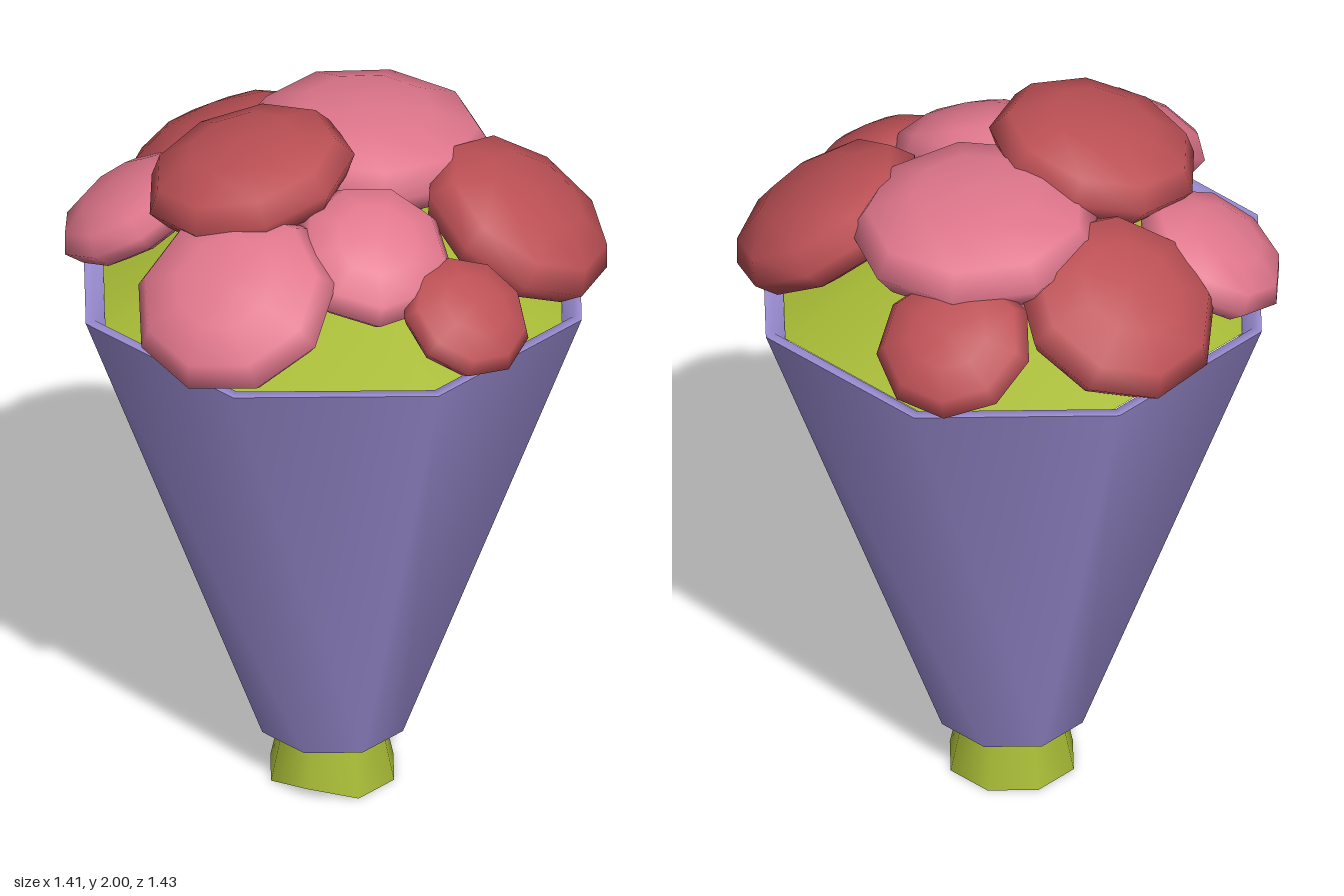
import * as THREE from 'three';

const mat = (name, hex) => {
  const m = new THREE.MeshStandardMaterial({ color: hex });
  m.name = name;
  return m;
};

export function createModel() {
  const group = new THREE.Group();
  group.name = 'bouquet';
  const lilac = mat('lilac paper', 0x9d8fd6);
  const green = mat('leaf green', 0xa8bb36);
  const pink = mat('pink petals', 0xe0768c);
  const red = mat('red petals', 0xbc5055);

  const add = (name, geometry, material) => {
    const mesh = new THREE.Mesh(geometry, material);
    mesh.name = name;
    group.add(mesh);
    return mesh;
  };
  const lathe = (pts) => new THREE.LatheGeometry(pts.map(([x, y]) => new THREE.Vector2(x, y)), 8);

  // Eight-sided paper cone with a thin folded rim
  add('wrapper', lathe([[0.2, 0.155], [0.705, 1.53]]), lilac);
  add('wrapperRim', lathe([[0.705, 1.53], [0.68, 1.535], [0.64, 1.49]]), lilac);
  add('wrapperBase', lathe([[0, 0.155], [0.2, 0.155]]), lilac);

  // Stem bundle flaring at the foot, cut slightly upward at the front
  const stem = new THREE.CylinderGeometry(0.14, 0.175, 0.16, 8);
  stem.translate(0, 0.08, 0);
  const p = stem.attributes.position;
  for (let i = 0; i < p.count; i++) {
    if (p.getY(i) < 0.01 && p.getZ(i) > 0.15) p.setY(i, 0.03);
  }
  add('stem', stem, green);

  // Green mound the blossoms sit on
  add('leafMound', lathe([[0.65, 1.51], [0.33, 1.66], [0, 1.74]]), green);

  // Blossoms: flattened low-poly balls, [name, material, centre, radius, facing]
  const blossoms = [
    ['crownPink', pink, [0.02, 1.81, -0.2], 0.335, [0.03, 1, -0.06], 0.39],
    ['crownRed', red, [-0.17, 1.87, 0.16], 0.285, [-0.22, 0.97, 0.1], 0.42],
    ['frontPink', pink, [-0.08, 1.69, 0.49], 0.275, [-0.05, 0.82, 0.55], 0.45],
    ['sidePink', pink, [-0.52, 1.66, 0.11], 0.215, [-0.5, 0.85, 0.1], 0.45],
    ['frontSmallPink', pink, [0.21, 1.755, 0.25], 0.215, [0.32, 0.85, 0.36], 0.45],
    ['sideSmallRed', red, [0.48, 1.635, 0.26], 0.18, [0.5, 0.8, 0.25], 0.45],
    ['sideRed', red, [0.46, 1.7, -0.15], 0.28, [0.52, 0.84, -0.1], 0.45],
    ['backRed', red, [-0.05, 1.67, -0.54], 0.21, [0, 0.82, -0.56], 0.45],
    ['backSideRed', red, [-0.39, 1.68, -0.24], 0.28, [-0.45, 0.85, -0.22], 0.45],
  ];
  const up = new THREE.Vector3(0, 1, 0);
  for (const [name, material, centre, r, facing, flat] of blossoms) {
    const mesh = add(name, new THREE.SphereGeometry(1, 9, 6), material);
    mesh.scale.set(r, r * flat, r);
    mesh.position.set(...centre);
    mesh.quaternion.setFromUnitVectors(up, new THREE.Vector3(...facing).normalize());
  }

  // Tapered heart below the large crown blossom
  const core = add('crownHeart', new THREE.CylinderGeometry(0.24, 0.2, 0.16, 8), pink);
  core.position.set(0, 1.69, -0.19);

  return group;
}
